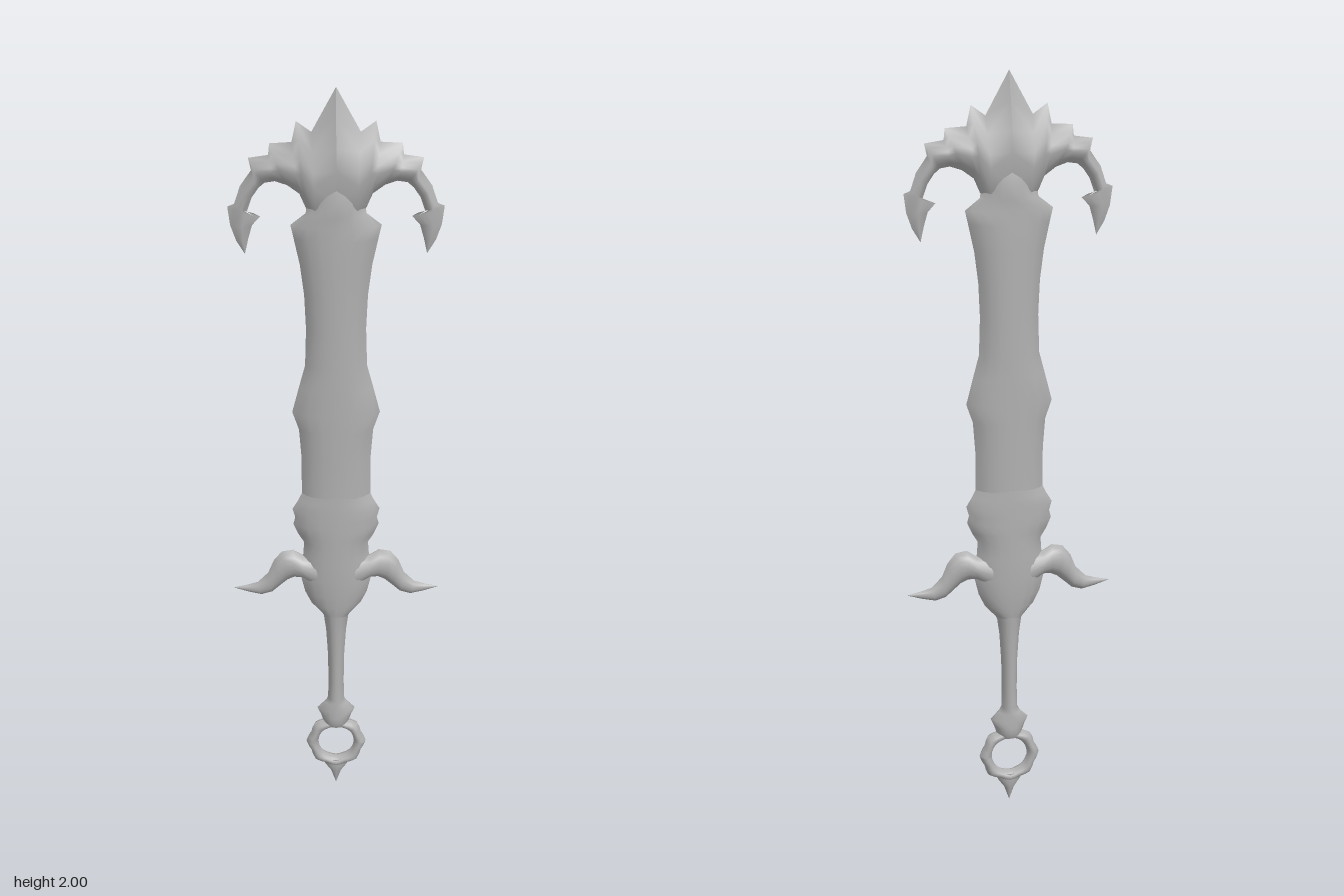
import * as THREE from 'three';

const steel = new THREE.MeshStandardMaterial({ color: 0xb0b0b0 });
steel.name = 'steel';

// Thickness across a section: [position between the two edges, share of depth]
const ROUND = [[0, 0], [0.07, 0.36], [0.17, 0.7], [0.32, 0.93], [0.5, 1], [0.68, 0.93], [0.83, 0.7], [0.93, 0.36], [1, 0]];
const RIDGE = [[0, 0], [0.2, 0.5], [0.4, 0.95], [0.55, 1], [0.8, 0.72], [1, 0]];

// Lens-shaped body between two edge rails. Station: [ax, ay, bx, by, halfDepth]
function ribbon(name, stations, profile, mirror = 1) {
  const pos = [], index = [], n = profile.length;
  for (const side of [1, -1]) {
    const base = pos.length / 3;
    for (const [ax, ay, bx, by, d] of stations) {
      for (const [t, h] of profile) {
        pos.push(mirror * (ax + (bx - ax) * t), ay + (by - ay) * t, side * d * h);
      }
    }
    // wind every triangle so that it faces its own side
    const tri = (a, b, c) => {
      const X = (i) => pos[i * 3], Y = (i) => pos[i * 3 + 1];
      const area = (X(b) - X(a)) * (Y(c) - Y(a)) - (X(c) - X(a)) * (Y(b) - Y(a));
      if (Math.abs(area) < 1e-10) return;
      if (area * side > 0) index.push(a, b, c);
      else index.push(a, c, b);
    };
    for (let i = 0; i < stations.length - 1; i++) {
      for (let j = 0; j < n - 1; j++) {
        const a = base + i * n + j, b = a + n;
        tri(a, b, a + 1);
        tri(b, b + 1, a + 1);
      }
    }
  }
  const geo = new THREE.BufferGeometry();
  geo.setAttribute('position', new THREE.Float32BufferAttribute(pos, 3));
  geo.setIndex(index);
  geo.computeVertexNormals();
  const mesh = new THREE.Mesh(geo, steel);
  mesh.name = name;
  return mesh;
}

// Symmetric upright body from rows of [y, halfWidth, halfDepth]
const upright = (name, rows) =>
  ribbon(name, rows.map(([y, w, d]) => [-w, y, w, y, d]), ROUND);

export function createModel() {
  const group = new THREE.Group();
  group.name = 'sword';

  // Blade, waisted with a barb halfway up
  group.add(upright('blade', [
    [1.76, 0.06, 0.034], [1.72, 0.07, 0.042], [1.685, 0.075, 0.041], [1.655, 0.113, 0.039],
    [1.62, 0.105, 0.041], [1.55, 0.09, 0.041], [1.47, 0.08, 0.041], [1.38, 0.076, 0.041],
    [1.28, 0.079, 0.041], [1.22, 0.095, 0.041], [1.15, 0.113, 0.041], [1.1, 0.096, 0.041],
    [1.02, 0.09, 0.041], [0.92, 0.09, 0.041], [0.88, 0.092, 0.042],
  ]));

  // Guard body with its bumps, tapering to the grip
  group.add(upright('guardBody', [
    [0.92, 0.088, 0.041], [0.895, 0.1, 0.042], [0.87, 0.115, 0.043], [0.845, 0.108, 0.043],
    [0.825, 0.113, 0.044], [0.795, 0.1, 0.044], [0.77, 0.085, 0.044], [0.73, 0.088, 0.044],
    [0.67, 0.095, 0.044], [0.62, 0.083, 0.041], [0.585, 0.066, 0.038], [0.565, 0.048, 0.035],
    [0.55, 0.034, 0.033],
  ]));

  // Grip and collar
  group.add(upright('grip', [
    [0.57, 0.045, 0.035], [0.545, 0.033, 0.033], [0.5, 0.027, 0.03], [0.42, 0.022, 0.027],
    [0.34, 0.021, 0.026], [0.285, 0.022, 0.027], [0.27, 0.03, 0.028], [0.25, 0.052, 0.029],
    [0.228, 0.042, 0.03], [0.21, 0.036, 0.03], [0.195, 0.03, 0.022],
  ]));

  // Pommel ring, slightly faceted
  const ring = [];
  for (let i = 0; i <= 32; i++) {
    const a = (i / 32) * Math.PI * 2;
    const outer = 0.079 + 0.004 * Math.cos(8 * a), c = Math.cos(a), s = Math.sin(a);
    ring.push([c * outer, 0.14 + s * outer, c * 0.049, 0.14 + s * 0.049, 0.02]);
  }
  group.add(ribbon('pommelRing', ring, ROUND));
  group.add(upright('pommelSpike', [
    [0.085, 0.04, 0.018], [0.062, 0.03, 0.018], [0.04, 0.014, 0.013], [0, 0, 0],
  ]));

  for (const [side, s] of [['left', 1], ['right', -1]]) {
    // Crown half: spikes on the outer edge, ending in a barbed hook
    group.add(ribbon(side + 'CrownHook', [
      [0, 2, 0, 1.64, 0.042], [0.06, 1.89, 0.05, 1.66, 0.042],
      [0.097, 1.917, 0.075, 1.7, 0.037], [0.108, 1.865, 0.09, 1.735, 0.034],
      [0.162, 1.862, 0.12, 1.757, 0.03], [0.165, 1.833, 0.15, 1.767, 0.026],
      [0.214, 1.826, 0.175, 1.763, 0.023], [0.207, 1.795, 0.19, 1.75, 0.021],
      [0.235, 1.755, 0.207, 1.725, 0.019], [0.25, 1.71, 0.219, 1.69, 0.016],
      [0.267, 1.703, 0.187, 1.677, 0.014], [0.261, 1.655, 0.207, 1.655, 0.013],
      [0.247, 1.615, 0.217, 1.62, 0.008], [0.226, 1.58, 0.226, 1.58, 0],
    ], RIDGE, s));

    // Guard arm: knuckle, then a thin upturned point
    group.add(ribbon(side + 'GuardArm', [
      [0.05, 0.735, 0.05, 0.635, 0.036], [0.09, 0.73, 0.09, 0.665, 0.032],
      [0.115, 0.747, 0.112, 0.665, 0.03], [0.145, 0.742, 0.13, 0.657, 0.027],
      [0.167, 0.715, 0.15, 0.64, 0.024], [0.182, 0.678, 0.172, 0.62, 0.019],
      [0.21, 0.65, 0.2, 0.612, 0.014], [0.24, 0.641, 0.235, 0.62, 0.008],
      [0.276, 0.633, 0.276, 0.633, 0],
    ], ROUND, s));
  }
  return group;
}
